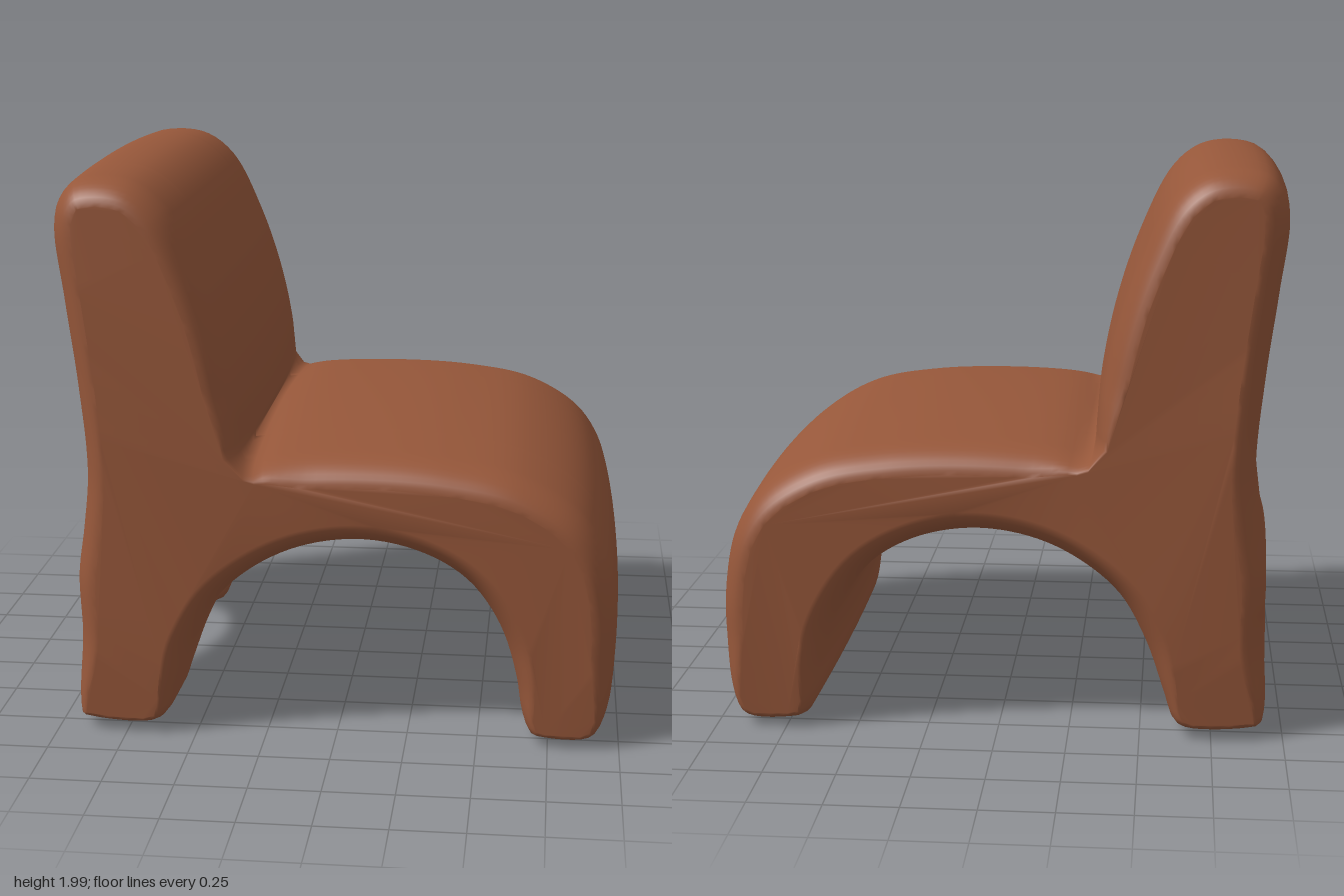
import * as THREE from 'three';

// Side outline, clockwise from the seat crease: seat, front, arch, rear foot, backrest
const OUTLINE = [
  [-.33, 1.01], [-.2, 1.04], [.1, 1.055], [.4, 1.04], [.65, .99], [.85, .87], [.95, .72], [.995, .5],
  [.995, .3], [.97, .12], [.93, .03], [.88, .003], [.74, .003], [.68, .02], [.65, .08], [.62, .22],
  [.55, .42], [.44, .57], [.28, .66], [.08, .695], [-.12, .665], [-.28, .59], [-.41, .48], [-.5, .32],
  [-.57, .14], [-.61, .04], [-.66, .012], [-.88, .012], [-.935, .03], [-.95, .1], [-.945, .35],
  [-.95, .56], [-.925, .74], [-.905, .95], [-.93, 1.25], [-.97, 1.55], [-1, 1.8], [-.98, 1.9],
  [-.92, 1.97], [-.8, 1.993], [-.68, 1.97], [-.57, 1.88], [-.46, 1.66], [-.38, 1.42], [-.335, 1.2], [-.32, 1.03],
];
const HALF = 0.85;       // half width
const BEVEL = 0.15;      // sideways depth of the rounded edge
const ARCH_HALF = 0.46;  // half width of the arch between the rear legs
const ARCH_TOP = 0.52;
const LEG_TOP = 0.62;
const { smoothstep, lerp } = THREE.MathUtils;

// Positions of the cross-sections over the width, closer together where it curves
function sectionPositions() {
  const half = [];
  for (let i = 1; i <= 10; i++) half.push(ARCH_HALF * Math.sin(i / 10 * Math.PI / 2));
  for (let i = 1; i <= 5; i++) half.push(lerp(ARCH_HALF, HALF - BEVEL, i / 5));
  for (let i = 1; i <= 8; i++) half.push(HALF - BEVEL + BEVEL * Math.sin(i / 8 * Math.PI / 2));
  return [...half.map(z => -z).reverse(), 0, ...half];
}

// Crown over the width (fuller on the seat) plus the rounded edge,
// which is tighter at the feet and along the crease
function insetAt(p, normal, creaseDistance, z) {
  const seat = p.x > -0.33 ? 0.02 * Math.max(0, normal.y) : 0;
  const t = Math.max(0, (Math.abs(z) - (HALF - BEVEL)) / BEVEL);
  const edge = lerp(0.035, 0.08, smoothstep(creaseDistance, 0, 0.25));
  const inset = (0.025 + seat) * (z / HALF) ** 2 + edge * (1 - Math.sqrt(Math.max(0, 1 - t * t)));
  return inset * lerp(0.45, 1, smoothstep(p.y, 0.02, 0.35));
}

// Front edge of the rear legs at a given height
const legFront = y => -0.62 + 0.85 * y * y;

// Lift the middle of the rear leg to open an arch at the back
function openRearArch(p, z) {
  const t = z / ARCH_HALF;
  if (Math.abs(t) >= 1 || p.x > -0.1 || p.y >= LEG_TOP) return;
  const rise = ARCH_TOP * Math.pow(1 - t * t, 0.7);
  const y = rise + p.y * (LEG_TOP - rise) / LEG_TOP;
  const back = -0.945;
  const u = (p.x - back) / (legFront(p.y) - back);
  p.x += 0.8 * Math.min(1, u) * (legFront(y) - legFront(p.y));
  p.y = y;
}

// Local width: fullest beside the crease, narrower up the backrest and at the feet
function widthAt(x, y) {
  const hip = 0.03 * Math.exp(-(((x + 0.6) / 0.32) ** 2));
  const front = 0.015 * smoothstep(x, 0.1, 0.8);
  const foot = 0.015 * (1 - smoothstep(y, 0, 0.3));
  return 0.835 + hip + front - foot - 0.04 * Math.max(0, y - 1);
}

function bodyGeometry() {
  const curve = new THREE.CatmullRomCurve3(OUTLINE.map(([x, y]) => new THREE.Vector3(x, y, 0)), false, 'centripetal');
  const profile = curve.getSpacedPoints(239);
  const n = profile.length;
  const step = curve.getLength() / (n - 1);
  const normals = profile.map((p, j) => {
    const a = profile[Math.max(0, j - 1)], b = profile[Math.min(n - 1, j + 1)];
    return new THREE.Vector2(a.y - b.y, b.x - a.x).normalize();
  });

  const zs = sectionPositions();
  const positions = [], index = [], rings = [];
  for (const z of zs) {
    rings.push(profile.map((p, j) => {
      const inset = insetAt(p, normals[j], step * Math.min(j, n - 1 - j), z);
      const q = new THREE.Vector2(p.x, p.y).addScaledVector(normals[j], -inset);
      openRearArch(q, z);
      positions.push(q.x, q.y, z / HALF * widthAt(q.x, q.y));
      return q;
    }));
  }

  // Skin between the sections
  for (let i = 0; i < zs.length - 1; i++) {
    for (let j = 0; j < n; j++) {
      const k = (j + 1) % n;
      const a = i * n + j, b = i * n + k, c = a + n, d = b + n;
      index.push(a, c, b, b, c, d);
    }
  }

  // Sides
  for (const i of [0, zs.length - 1]) {
    const ring = rings[i];
    for (const [a, b, c] of THREE.ShapeUtils.triangulateShape(ring.slice(), [])) {
      const facesFront = THREE.ShapeUtils.area([ring[a], ring[b], ring[c]]) > 0;
      const o = i * n;
      if (facesFront === (i > 0)) index.push(o + a, o + b, o + c);
      else index.push(o + a, o + c, o + b);
    }
  }

  const geometry = new THREE.BufferGeometry();
  geometry.setAttribute('position', new THREE.Float32BufferAttribute(positions, 3));
  geometry.setIndex(index);
  geometry.computeVertexNormals();
  return geometry;
}

export function createModel() {
  const chair = new THREE.Group();
  chair.name = 'chair';
  // One upholstered skin: seat, backrest, front panel and rear legs
  const body = new THREE.Mesh(bodyGeometry(), new THREE.MeshStandardMaterial({ color: 0x96573a }));
  body.name = 'upholsteredBody';
  chair.add(body);
  return chair;
}
